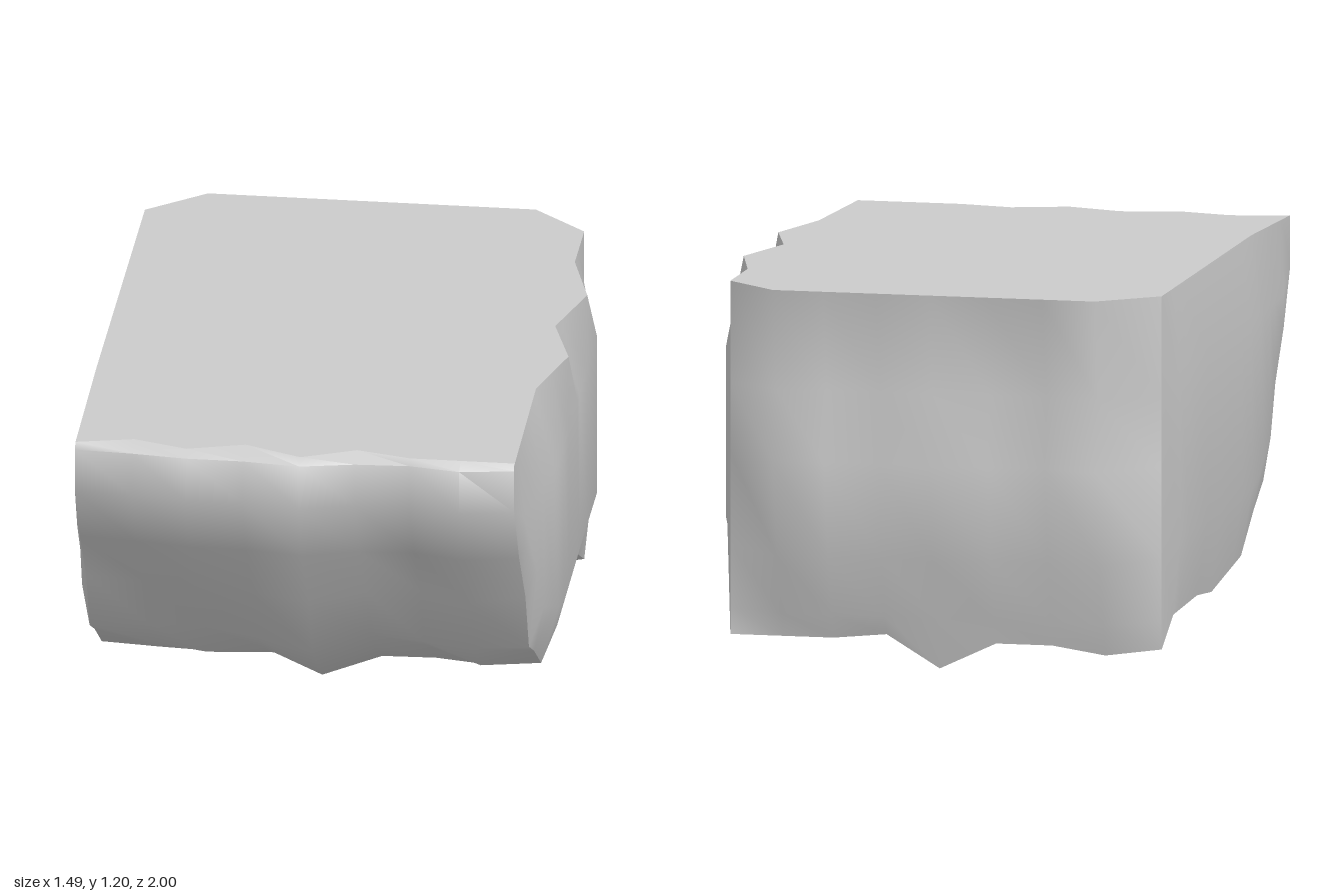
import * as THREE from 'three';
import { toCreasedNormals } from 'three/addons/utils/BufferGeometryUtils.js';

const material = new THREE.MeshStandardMaterial({ color: 0xcccccc });
const lerp = THREE.MathUtils.lerp;

// Columns across the rock and how far each one pushes out, by zone of the profile
const xs = [-0.71, -0.53, -0.36, -0.18, 0, 0.17, 0.34, 0.5, 0.67];
const lipZ = [0.93, 0.89, 0.94, 0.89, 0.96, 0.89, 0.93, 0.93, 0.93];
const push = {
  front: [0, 0.2, 0.6, 0.6, 1, 0.2, 0, 0.6, 0],
  foot: [0, -0.3, -0.3, 0.3, 1, -0.3, 0, 0.3, 0],
  chin: [0, 0.3, 0.5, 0.3, 1, 0.1, 0, 0.5, 0],
  under: [0, 0.1, 0.7, 0, 1, 0, 0, 0.5, 0],
  rim: [0, 0.3, 0, 0, 1, -0.2, 0, 0, 0],
  back: [0, 1, 0.7, 0.8, 1, 0.8, 0.9, 1, 0],
  top: [0, 1, 1, 1, 1, 1, 1, 1, 0],
};

// Side profile from lip to back top: [zone, inner z, inner y, outer z, outer y]
const profile = [
  ['front', 0.945, 1.16, 0.99, 1.16],
  ['front', 0.945, 1.02, 1.0, 1.02],
  ['front', 0.82, 0.81, 0.93, 0.83],
  ['front', 0.66, 0.61, 0.74, 0.59],
  ['foot', 0.57, 0.4, 0.65, 0.38],
  ['chin', 0.44, 0.33, 0.4, 0.195],
  ['chin', 0.26, 0.21, 0.2, 0.155],
  ['under', -0.15, 0.16, -0.12, 0.085],
  ['under', -0.35, 0.18, -0.3, 0.09],
  ['under', -0.68, 0.17, -0.74, 0.045],
  ['rim', -0.84, 0.085, -0.84, 0],
  ['back', -0.84, 0.17, -0.87, 0.16],
  ['back', -0.84, 0.37, -0.93, 0.35],
  ['back', -0.84, 0.66, -0.995, 0.66],
  ['back', -0.84, 0.88, -0.945, 0.88],
  ['top', -0.84, 1.2, -0.99, 1.2],
];

// Value at z on a path of [z, value] points running from front to back
function valueAt(path, z) {
  for (let k = 0; k < path.length - 1; k++) {
    const [z0, a] = path[k];
    const [z1, b] = path[k + 1];
    if (z <= z0 && z >= z1) return lerp(a, b, (z0 - z) / (z0 - z1));
  }
  return path[0][1];
}

// The top is level, then falls slightly towards the front lip
const topY = (z) => 1.2 - 0.02 * Math.max(0, (z - 0.4) / 0.53);

// Surface from a grid of points, columns left to right and rows top to bottom
function gridGeometry(cols, rows, point) {
  const positions = [];
  const index = [];
  for (let j = 0; j < rows; j++) {
    for (let i = 0; i < cols; i++) {
      positions.push(...point(i, j));
      if (i < cols - 1 && j < rows - 1) {
        const a = j * cols + i;
        const b = a + cols;
        index.push(a, b, b + 1, a, b + 1, a + 1);
      }
    }
  }
  const geometry = new THREE.BufferGeometry();
  geometry.setAttribute('position', new THREE.Float32BufferAttribute(positions, 3));
  geometry.setIndex(index);
  return toCreasedNormals(geometry, 1.1);
}

function rockPoint(i, j) {
  if (j === 0) return [xs[i], topY(lipZ[i]), lipZ[i]];
  const [zone, z0, y0, z1, y1] = profile[j - 1];
  const t = push[zone][i];
  return [xs[i], lerp(y0, y1, t), lerp(z0, z1, t)];
}

// Side walls swell in the middle and taper to both ends; the left one has a notched top edge
const wallZ = [0.945, 0.82, 0.66, 0.57, 0.44, 0.39, 0.26, 0.13, -0.1, -0.15, -0.35, -0.6, -0.68, -0.84];
const lowerEdge = profile.slice(1, 11).map(([, z, y]) => [z, y]);
const swell = [[0.945, 0], [0.39, 1], [-0.6, 1], [-0.84, 0]];
const notch = [[0.945, 0], [0.39, 0], [0.13, 1], [-0.1, 0], [-0.35, 1], [-0.6, 0], [-0.84, 0]];

function wallGeometry(side) {
  const zs = side > 0 ? wallZ : [...wallZ].reverse();
  return gridGeometry(zs.length, 4, (i, j) => {
    const z = zs[i];
    const low = valueAt(lowerEdge, z);
    const high = Math.max(low, 0.95);
    const y = [topY(z), high, Math.max(0.42, lerp(low, high, 0.25)), low][j];
    const middle = valueAt(swell, z);
    const bulge = [side > 0 ? valueAt(notch, z) : 0, middle, middle, 0][j];
    return [side > 0 ? 0.67 + 0.07 * bulge : -0.71 - 0.035 * bulge, y, z];
  });
}

// Flat top with clipped back corners, notched left edge and wavy front lip
function topGeometry() {
  const outline = xs.map((x, i) => [x, lipZ[i]]);
  for (const [z, n] of notch.slice(1)) outline.push([0.67 + 0.07 * n, z]);
  outline.push([0.5, -0.99], [-0.53, -0.99], [-0.71, -0.84], [-0.71, 0.39]);
  const shape = new THREE.Shape(outline.map(([x, z]) => new THREE.Vector2(x, -z)));
  const geometry = new THREE.ShapeGeometry(shape).rotateX(-Math.PI / 2);
  const p = geometry.attributes.position;
  for (let k = 0; k < p.count; k++) p.setY(k, topY(p.getZ(k)));
  return geometry;
}

export function createModel() {
  const group = new THREE.Group();
  group.name = 'cliffBlock';
  const add = (name, geometry) => {
    const mesh = new THREE.Mesh(geometry, material);
    mesh.name = name;
    group.add(mesh);
  };
  add('rockFace', gridGeometry(xs.length, profile.length + 1, rockPoint));
  add('leftWall', wallGeometry(1));
  add('rightWall', wallGeometry(-1));
  add('topSurface', topGeometry());
  return group;
}
